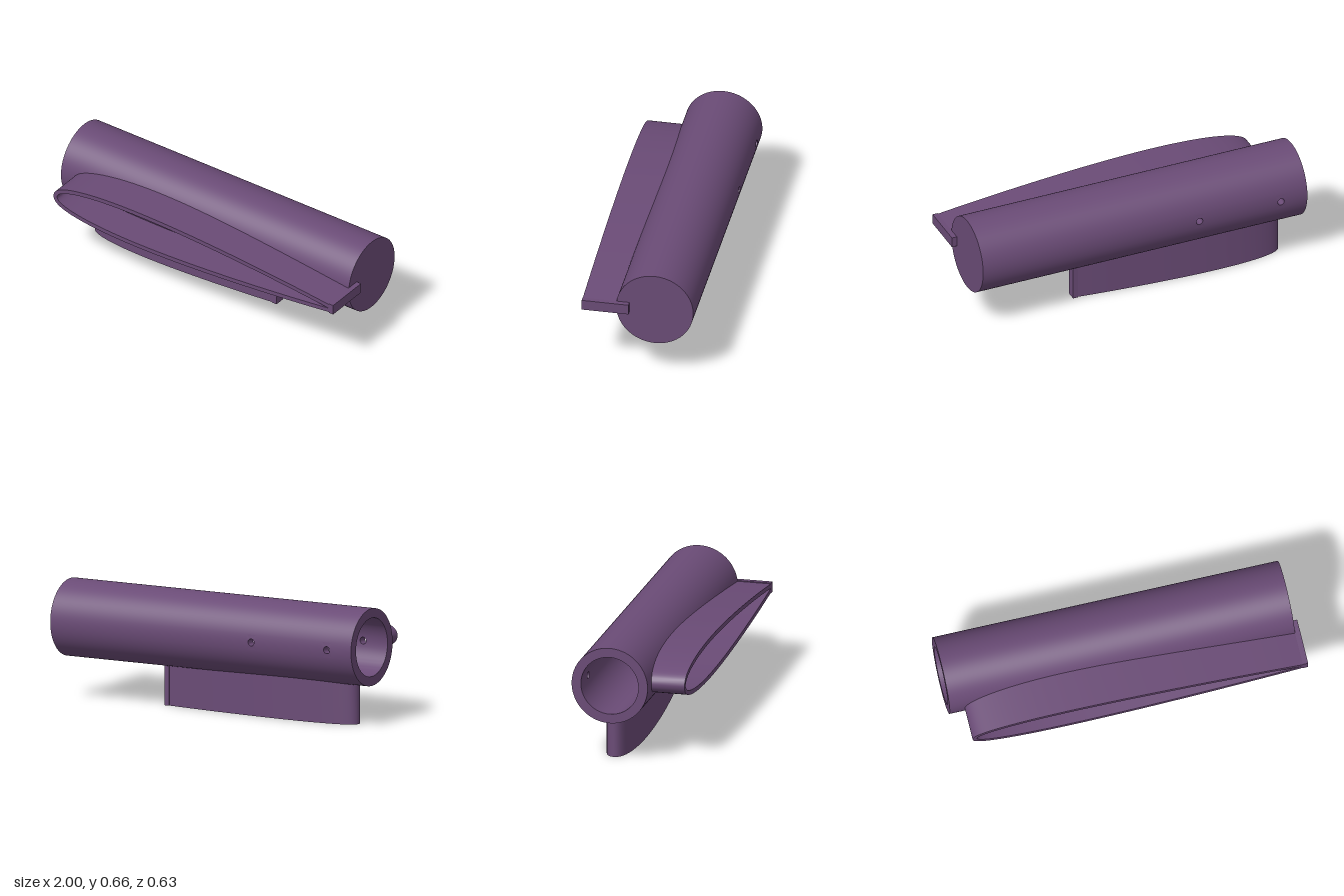
import * as THREE from 'three';
import { toCreasedNormals } from 'three/addons/utils/BufferGeometryUtils.js';

const AXIS_Y = 0.44, AXIS_Z = -0.093;          // tube axis, parallel to x
const OUTER = 0.218, BORE = 0.165;
const X0 = -1, X1 = 0.97, BORE_END = 0.94;
const SEGMENTS = 96, STEP = (Math.PI * 2) / SEGMENTS;
const HOLES = [-0.84, -0.345], HOLE_R = 0.02;  // pin holes through front and back
const PATCH = 0.032, PATCH_SEGS = 3;           // half size of the patch round each hole
const WALL = 0.025;

const purple = new THREE.MeshStandardMaterial({ color: 0x6a4b76 });

function add(parent, name, geometry) {
  const mesh = new THREE.Mesh(geometry, purple);
  mesh.name = name;
  parent.add(mesh);
  return mesh;
}

const onTube = (r, x, a) => [x, AXIS_Y + r * Math.sin(a), AXIS_Z + r * Math.cos(a)];

// Points round a hole: square border (rim = false) or the hole edge (rim = true)
function holeLoop(r, x, centre, rim) {
  const n = PATCH_SEGS * 2, w = PATCH_SEGS * STEP, points = [];
  for (let k = 0; k < n * 4; k++) {
    const t = ((k % n) / n) * 2 - 1;
    const [s, u] = [[t, -1], [1, t], [-t, 1], [-1, -t]][Math.floor(k / n)];
    if (rim) {
      const phi = Math.atan2(u * w * OUTER, s * PATCH);
      points.push(onTube(r, x + HOLE_R * Math.cos(phi), centre + Math.asin(HOLE_R * Math.sin(phi) / r)));
    } else {
      points.push(onTube(r, x + PATCH * s, centre + w * u));
    }
  }
  return points;
}

// Outer skin, bore and hole walls of the tube
function tubeGeometry() {
  const positions = [];
  const quad = (a, b, c, d, flip) => {
    const order = flip ? [a, c, b, a, d, c] : [a, b, c, a, c, d];
    order.forEach((p) => positions.push(...p));
  };
  const band = (from, to, flip) => from.forEach((p, k) => {
    const next = (k + 1) % from.length;
    quad(p, from[next], to[next], to[k], flip);
  });

  for (const [r, end, flip] of [[OUTER, X1, false], [BORE, BORE_END, true]]) {
    const xs = [X0, ...HOLES.flatMap((x) => [x - PATCH, x + PATCH]), end];
    for (let i = 0; i < xs.length - 1; i++) {
      for (let j = 0; j < SEGMENTS; j++) {
        const nearHole = (j + PATCH_SEGS) % (SEGMENTS / 2) < PATCH_SEGS * 2;
        if (i % 2 === 1 && nearHole) continue;
        const a = j * STEP, b = a + STEP;
        quad(onTube(r, xs[i], a), onTube(r, xs[i + 1], a),
          onTube(r, xs[i + 1], b), onTube(r, xs[i], b), flip);
      }
    }
    for (const x of HOLES) for (const side of [0, Math.PI]) {
      band(holeLoop(r, x, side, false), holeLoop(r, x, side, true), flip);
    }
  }
  for (const x of HOLES) for (const side of [0, Math.PI]) {
    band(holeLoop(OUTER, x, side, true), holeLoop(BORE, x, side, true), false);
  }

  const geometry = new THREE.BufferGeometry();
  geometry.setAttribute('position', new THREE.Float32BufferAttribute(positions, 3));
  return toCreasedNormals(geometry, 0.5);
}

// Hollow symmetric wing section from nose to tail, extruded along z
function collarGeometry(nose, tail, depth) {
  const chord = tail - nose, n = 48;
  const half = (s) => 0.5 * chord * (0.2969 * Math.sqrt(s) - 0.126 * s
    - 0.3516 * s ** 2 + 0.2843 * s ** 3 - 0.1036 * s ** 4);
  const inner = [];
  for (let i = -n; i < n; i++) {               // upper tail, round the nose, lower side
    const s = (1 - Math.cos((Math.PI * i) / n)) / 2;
    inner.push(new THREE.Vector2(nose + chord * s, i < 0 ? half(s) : -half(s)));
  }
  inner[0].y = 0;
  const closed = [...inner, new THREE.Vector2(tail, 0)];
  const outer = closed.map((p, i) => {
    const a = closed[Math.max(i - 1, 0)], b = closed[Math.min(i + 1, closed.length - 1)];
    const dir = b.clone().sub(a).normalize();
    return new THREE.Vector2(Math.min(p.x + dir.y * WALL, tail), p.y - dir.x * WALL);
  });
  const shape = new THREE.Shape(outer);
  shape.holes.push(new THREE.Path(inner));
  return toCreasedNormals(new THREE.ExtrudeGeometry(shape, { depth, bevelEnabled: false }), 0.6);
}

export function createModel() {
  const model = new THREE.Group();
  model.name = 'tubeWithCollars';

  // Tube, closed at +x and open at -x
  const tube = new THREE.Group();
  tube.name = 'tube';
  model.add(tube);
  add(tube, 'tubeWall', tubeGeometry());
  const disc = (name, geometry, x, turn) => {
    const mesh = add(tube, name, geometry);
    mesh.position.set(x, AXIS_Y, AXIS_Z);
    mesh.rotation.y = turn;
  };
  disc('openRim', new THREE.RingGeometry(BORE, OUTER, SEGMENTS), X0, -Math.PI / 2);
  disc('closedEnd', new THREE.CircleGeometry(OUTER, SEGMENTS), X1, Math.PI / 2);
  disc('boreEnd', new THREE.CircleGeometry(BORE, SEGMENTS), BORE_END, -Math.PI / 2);

  // Long collar on the front, with its tail block
  const front = add(model, 'frontCollar', collarGeometry(-0.89, 0.97, 0.235));
  front.position.set(0, AXIS_Y, 0.08);
  add(model, 'frontTailBlock', new THREE.BoxGeometry(0.03, 0.06, 0.265))
    .position.set(0.985, AXIS_Y, 0.1825);

  // Short collar underneath, with its tail block
  const lower = add(model, 'lowerCollar', collarGeometry(-0.89, 0.31, 0.26));
  lower.rotation.x = Math.PI / 2;
  lower.position.set(0, 0.26, AXIS_Z);
  add(model, 'lowerTailBlock', new THREE.BoxGeometry(0.03, 0.26, 0.06))
    .position.set(0.325, 0.13, AXIS_Z);

  return model;
}
